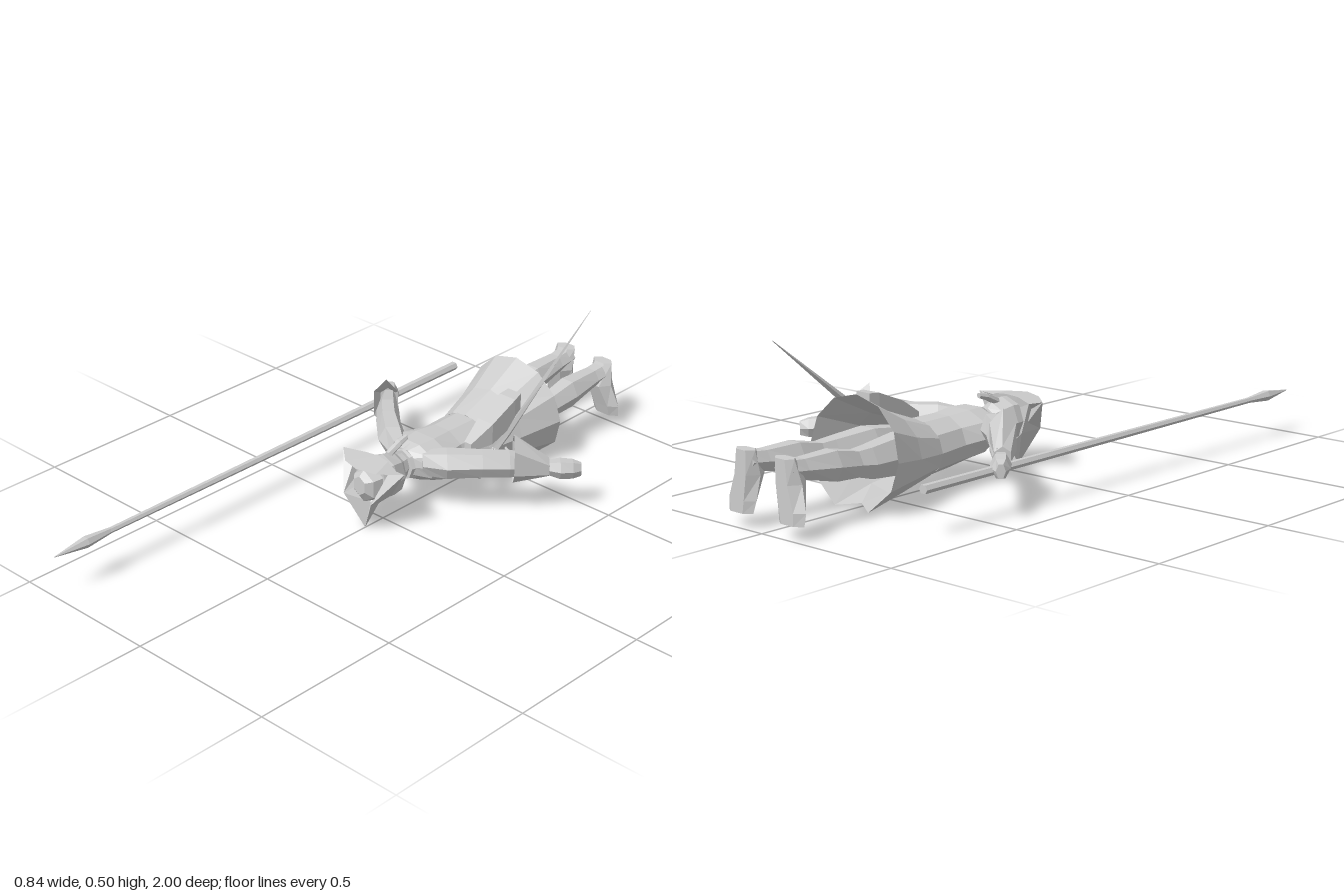
import * as THREE from 'three';

const X = [1, 0, 0], Y = [0, 1, 0], Z = [0, 0, 1];

// Faceted skin over elliptical rings; stations are [x, y, z, radiusU, radiusV]
function loft(stations, u, v, n, { start = true, end = true, phase = 0, tweak } = {}) {
  const U = new THREE.Vector3(...u).normalize(), V = new THREE.Vector3(...v).normalize();
  const centers = stations.map(s => new THREE.Vector3(s[0], s[1], s[2]));
  const axis = centers.at(-1).clone().sub(centers[0]);
  if (U.clone().cross(V).dot(axis) < 0) V.negate();
  const rings = stations.map((s, j) => Array.from({ length: n }, (_, i) => {
    const a = ((i + phase) / n) * Math.PI * 2;
    const p = centers[j].clone().addScaledVector(U, Math.cos(a) * s[3]).addScaledVector(V, Math.sin(a) * s[4]);
    if (tweak) tweak(p, j, i);
    return p;
  }));
  return skin(rings, start, end);
}

function skin(rings, start, end) {
  const pos = [], n = rings[0].length;
  const tri = (...ps) => ps.forEach(p => pos.push(p.x, p.y, p.z));
  const mid = r => r.reduce((m, p) => m.add(p), new THREE.Vector3()).divideScalar(n);
  for (let i = 0; i < n; i++) {
    const k = (i + 1) % n;
    for (let j = 0; j + 1 < rings.length; j++) {
      tri(rings[j][i], rings[j][k], rings[j + 1][k]);
      tri(rings[j][i], rings[j + 1][k], rings[j + 1][i]);
    }
    if (start) tri(mid(rings[0]), rings[0][k], rings[0][i]);
    if (end) tri(mid(rings.at(-1)), rings.at(-1)[i], rings.at(-1)[k]);
  }
  const g = new THREE.BufferGeometry();
  g.setAttribute('position', new THREE.Float32BufferAttribute(pos, 3));
  g.computeVertexNormals();
  return g;
}

// Station from depth, half width, lowest and highest y
const slab = (z, w, lo, hi, x = 0) => [x, (lo + hi) / 2, z, w, (hi - lo) / 2];

export function createModel() {
  const group = new THREE.Group();
  const grey = new THREE.MeshStandardMaterial({ color: 0xcccccc, flatShading: true, side: THREE.DoubleSide });
  grey.name = 'grey';
  const add = (name, geometry) => {
    const m = new THREE.Mesh(geometry, grey);
    m.name = name;
    group.add(m);
  };

  // Coat: flared skirt open at the hem, with a small front slit
  add('coatSkirt', loft([
    slab(-0.64, 0.18, -0.005, 0.34), slab(-0.5, 0.138, 0.025, 0.27), slab(-0.38, 0.108, 0.05, 0.225),
  ], X, Y, 12, {
    start: false, end: false,
    tweak: (p, j, i) => {
      if (j > 0) return;
      p.z += (p.y - 0.17) * 0.08;
      if (i === 9) p.set(0, 0.015, -0.61);
      if (i === 8 || i === 10) p.set(Math.sign(p.x) * 0.068, 0.006, p.z);
    },
  }));
  add('coatBody', loft([
    slab(-0.38, 0.108, 0.05, 0.225), slab(-0.27, 0.1, 0.06, 0.225), slab(-0.19, 0.125, 0.075, 0.23),
    slab(-0.13, 0.105, 0.1, 0.228), slab(-0.095, 0.05, 0.115, 0.215),
  ], X, Y, 10));
  add('collar', loft([
    slab(-0.12, 0.062, 0.105, 0.222), slab(-0.085, 0.045, 0.11, 0.212),
  ], X, Y, 8));

  // Head, nose and tied hair
  add('head', loft([
    slab(-0.1, 0.03, 0.13, 0.2), slab(-0.065, 0.036, 0.105, 0.205), slab(-0.045, 0.055, 0.085, 0.22),
    slab(0, 0.068, 0.085, 0.232), slab(0.05, 0.064, 0.09, 0.228),
  ], X, Y, 8));
  add('nose', loft([
    slab(-0.025, 0.014, 0.07, 0.1), slab(0.012, 0.006, 0.083, 0.1),
  ], X, Y, 4));
  add('ponytail', loft([
    slab(-0.105, 0.008, 0.243, 0.26), slab(-0.07, 0.013, 0.23, 0.254), slab(-0.02, 0.012, 0.205, 0.232),
  ], X, Y, 6));

  // Three-cornered hat: upturned brim around a low crown
  const outer = [
    [0, 0.005, 0.08], [0.058, 0.12, 0.115], [0.13, 0.225, 0.042], [0.065, 0.225, 0.1], [0, 0.228, 0.12],
    [-0.065, 0.225, 0.1], [-0.13, 0.225, 0.042], [-0.058, 0.12, 0.115],
  ];
  const base = [
    [0, 0.065, 0.035], [0.06, 0.12, 0.025], [0.085, 0.215, 0.03], [0.045, 0.232, 0.025], [0, 0.236, 0.022],
    [-0.045, 0.232, 0.025], [-0.085, 0.215, 0.03], [-0.06, 0.12, 0.025],
  ];
  const ring = pts => pts.map(p => new THREE.Vector3(...p));
  const gutter = base.map(([x, y, z]) => [x * 0.8, 0.165 + (y - 0.165) * 0.8, z + 0.02]);
  add('hatBrim', skin([ring(base), ring(outer), ring(gutter)], true, false));
  add('hatCrown', loft([
    slab(0.035, 0.06, 0.085, 0.22), slab(0.085, 0.047, 0.1, 0.21), slab(0.105, 0.026, 0.13, 0.195),
  ], X, Y, 6, { phase: 0.5 }));

  for (const s of [1, -1]) {
    const side = s > 0 ? 'left' : 'right';
    const across = [0.72 * s, 0, 0.7];
    // Sleeve, turned-back cuff and hand
    add(side + 'Arm', loft([
      [s * 0.05, 0.172, -0.125, 0.03, 0.042], [s * 0.115, 0.178, -0.165, 0.046, 0.05],
      [s * 0.2, 0.182, -0.235, 0.039, 0.046], [s * 0.26, 0.18, -0.295, 0.037, 0.045],
      [s * 0.34, 0.168, -0.385, 0.025, 0.028],
    ], across, Y, 6));
    add(side + 'Cuff', loft([
      [s * 0.272, 0.2, -0.3, 0.045, 0.085], [s * 0.345, 0.165, -0.385, 0.028, 0.033],
    ], across, Y, 6, { start: false, phase: 0.5 }));
    add(side + 'Hand', loft([
      [s * 0.335, 0.162, -0.38, 0.022, 0.022], [s * 0.365, 0.155, -0.415, 0.032, 0.034],
      [s * 0.392, 0.152, -0.445, 0.028, 0.032], [s * 0.41, 0.15, -0.465, 0.014, 0.024],
    ], across, Y, 6));

    // Leg from ankle to hip
    add(side + 'Leg', loft([
      slab(-0.985, 0.038, 0.165, 0.23, s * 0.079), slab(-0.92, 0.036, 0.155, 0.224, s * 0.077),
      slab(-0.8, 0.046, 0.125, 0.228, s * 0.075), slab(-0.71, 0.038, 0.12, 0.208, s * 0.074),
      slab(-0.66, 0.046, 0.105, 0.212, s * 0.074), slab(-0.52, 0.058, 0.09, 0.225, s * 0.062),
      slab(-0.4, 0.05, 0.08, 0.21, s * 0.052),
    ], X, Y, 6));
    // Foot with the sole flat at the far end
    add(side + 'Foot', loft([
      [s * 0.103, 0.048, -0.982, 0.05, 0.021], [s * 0.1, 0.085, -0.977, 0.056, 0.028],
      [s * 0.084, 0.16, -0.965, 0.046, 0.042], [s * 0.079, 0.232, -0.98, 0.038, 0.022],
    ], X, Z, 6, { tweak: p => { if (p.z < -0.985) p.z = -1; } }));
  }

  // Spear held at the right hand
  add('spearShaft', loft([
    [-0.37, 0.145, -0.74, 0.016, 0.014], [-0.37, 0.145, 0.82, 0.01, 0.009],
  ], X, Y, 6));
  add('spearHead', loft([
    [-0.37, 0.145, 0.78, 0.009, 0.009], [-0.37, 0.145, 0.88, 0.019, 0.018], [-0.37, 0.145, 1, 0.001, 0.001],
  ], X, Y, 6));

  // Sword slung at the left hip
  const bladeAcross = [0, 0.79, 0.62];
  add('swordBlade', loft([
    [0.158, 0.5, -0.8, 0.001, 0.001], [0.15, 0.33, -0.585, 0.007, 0.01],
    [0.146, 0.2, -0.42, 0.009, 0.018], [0.143, 0.155, -0.36, 0.009, 0.016],
  ], X, bladeAcross, 4));
  add('swordGrip', loft([
    [0.143, 0.16, -0.365, 0.012, 0.012], [0.14, 0.09, -0.285, 0.011, 0.012],
  ], X, bladeAcross, 6));
  const guard = new THREE.CatmullRomCurve3([
    [0.145, 0.15, -0.41], [0.17, 0.125, -0.415], [0.17, 0.1, -0.37], [0.142, 0.095, -0.33],
  ].map(p => new THREE.Vector3(...p)));
  add('swordGuard', new THREE.TubeGeometry(guard, 4, 0.005, 4));

  // Boxy pouch resting on the coat skirt
  add('pouch', loft([
    [0.11, 0.28, -0.49, 0.037, 0.04], [0.115, 0.262, -0.45, 0.046, 0.06],
    [0.12, 0.225, -0.34, 0.044, 0.05], [0.118, 0.2, -0.26, 0.02, 0.018],
  ], X, Y, 4, { phase: 0.5 }));

  return group;
}
